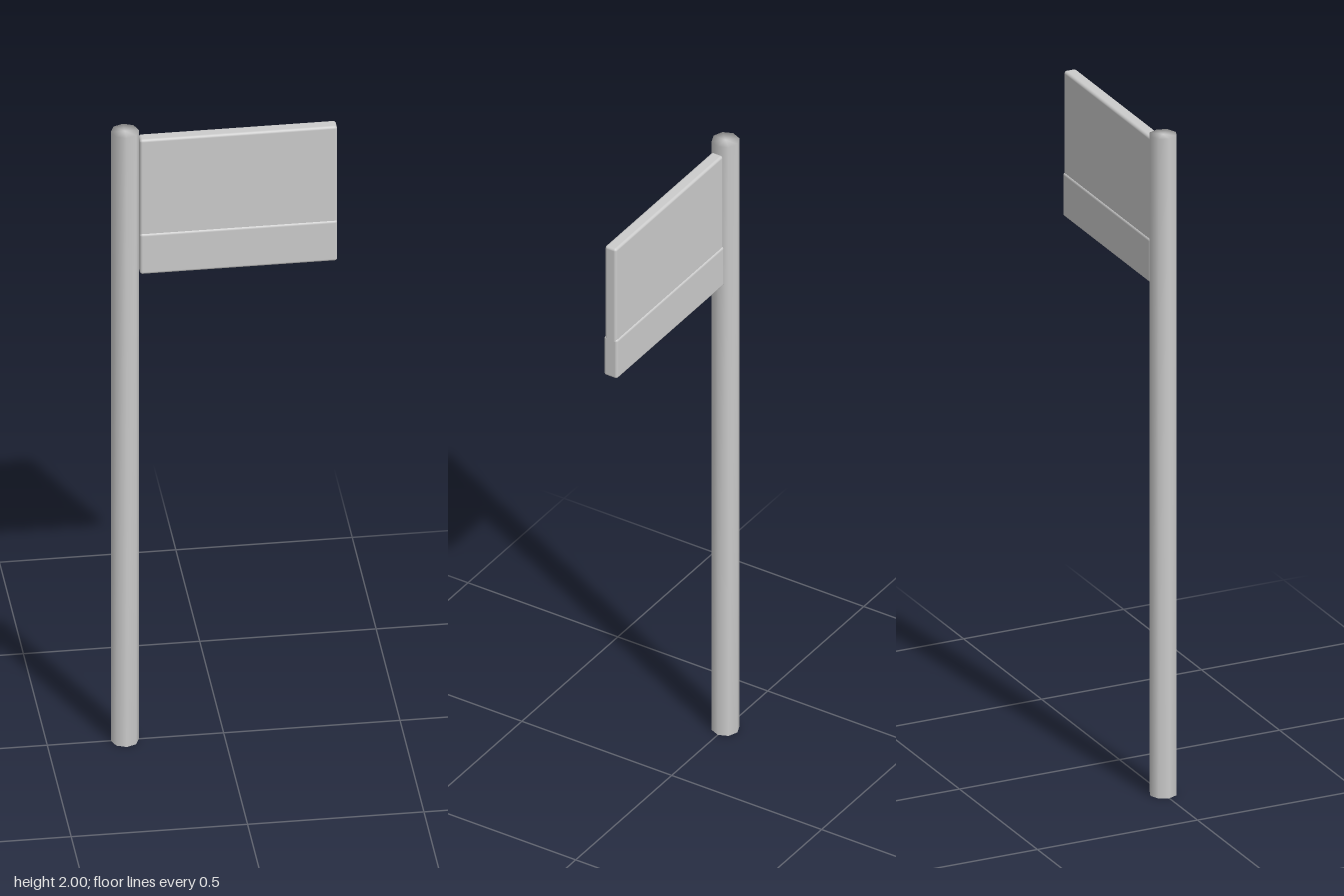
import * as THREE from 'three';
import { RoundedBoxGeometry } from 'three/addons/geometries/RoundedBoxGeometry.js';
import { mergeVertices } from 'three/addons/utils/BufferGeometryUtils.js';

const material = new THREE.MeshStandardMaterial({ color: 0xcccccc });

function addPart(group, name, geometry, x, y, z) {
  const mesh = new THREE.Mesh(geometry, material);
  mesh.name = name;
  mesh.position.set(x, y, z);
  group.add(mesh);
}

// Weld the vertices so the shading runs smoothly over the cap edges
function weld(geometry) {
  geometry.deleteAttribute('normal');
  geometry.deleteAttribute('uv');
  const welded = mergeVertices(geometry, 1e-4);
  welded.computeVertexNormals();
  return welded;
}

export function createModel() {
  const model = new THREE.Group();
  model.name = 'signPost';

  // Octagonal pole with corners on the x and z axes
  addPart(model, 'pole', weld(new THREE.CylinderGeometry(0.04, 0.04, 2, 8)), -0.28, 1, 0);

  // Sign board: a thin panel above a slightly thicker lower strip
  const left = -0.24, right = 0.32;
  const addBoard = (name, bottom, top, depth) => addPart(
    model, name, new RoundedBoxGeometry(right - left, top - bottom, depth, 2, 0.008),
    (left + right) / 2, (bottom + top) / 2, 0);
  addBoard('signPanel', 1.65, 1.977, 0.038);
  addBoard('lowerStrip', 1.537, 1.67, 0.045);

  return model;
}
